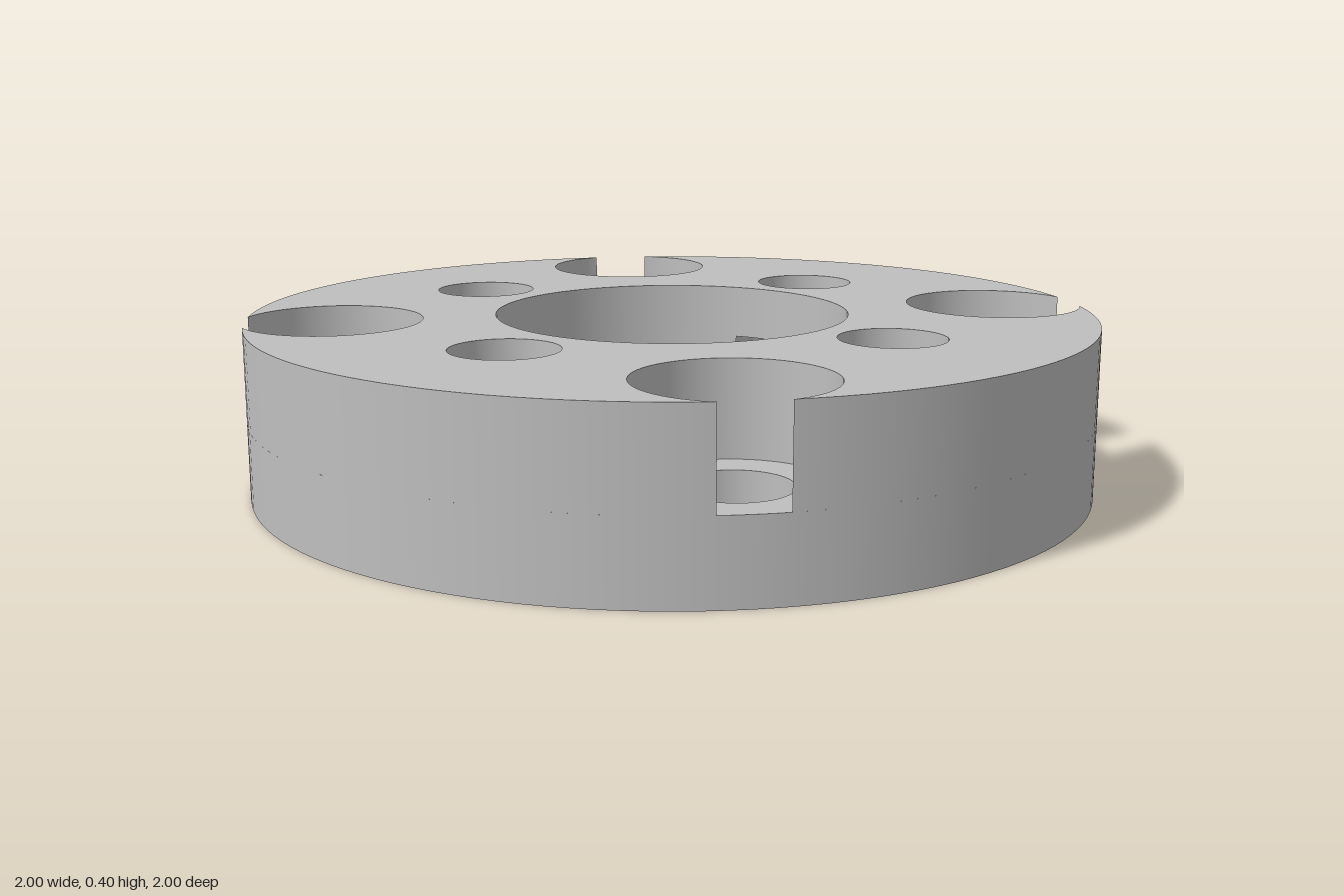
import * as THREE from 'three';
import { mergeGeometries } from 'three/addons/utils/BufferGeometryUtils.js';

const R = 1, H = 0.4;              // disc
const BORE = 0.42, HOLE = 0.122;   // centre bore, bolt holes
const POCKET = 0.21;               // counterbore radius
const D_OUT = 0.8, Y_OUT = 0.185;  // outer bolts: pockets open upward
const D_IN = 0.6, Y_IN = 0.27;     // inner bolts: pockets open downward
const TAU = Math.PI * 2, Q = Math.PI / 2;

const steps = (len) => Math.max(4, Math.ceil(Math.abs(len) / TAU * 128));

// Angles where a pocket crosses a circle r: seen from the axis and from the pocket centre
function crossing(r, d) {
  const x = (r * r - POCKET * POCKET + d * d) / (2 * d);
  return [Math.acos(x / r), Math.acos((x - d) / POCKET)];
}
const [aOut, bOut] = crossing(R, D_OUT);
const [aIn, bIn] = crossing(BORE, D_IN);

// Arc points, with the circle's centre at distance d along direction dir
function arc(d, r, a0, a1, dir = 0) {
  const n = steps(a1 - a0);
  return Array.from({ length: n + 1 }, (_, i) => {
    const a = dir + a0 + (a1 - a0) * i / n;
    return new THREE.Vector2(d * Math.cos(dir) + r * Math.cos(a), d * Math.sin(dir) + r * Math.sin(a));
  });
}
const circle = (d, r, dir = 0) => arc(d, r, 0, TAU, dir).slice(0, -1);

// Flat face at height y
function plate(points, holes, y, up) {
  const shape = new THREE.Shape(points);
  shape.holes = holes.map((h) => new THREE.Path(h));
  return new THREE.ShapeGeometry(shape).rotateX(up ? -Q : Q).translate(0, y, 0);
}

// Cylindrical wall from y0 to y1 over arc a0..a1, optionally facing its own axis
function wall(d, r, y0, y1, a0 = 0, a1 = TAU, inward = true) {
  const g = new THREE.CylinderGeometry(r, r, y1 - y0, steps(a1 - a0), 1, true, Q + a0, a1 - a0);
  if (inward) {
    g.index.array.reverse();
    const n = g.attributes.normal.array;
    for (let i = 0; i < n.length; i++) n[i] = -n[i];
  }
  return g.translate(d, (y0 + y1) / 2, 0);
}

export function createModel() {
  const group = new THREE.Group();
  const metal = new THREE.MeshStandardMaterial({ color: 0xbfbfbf });
  metal.name = 'grey metal';
  const add = (name, ...parts) => {
    const mesh = new THREE.Mesh(mergeGeometries(parts), metal);
    mesh.name = name;
    group.add(mesh);
    return mesh;
  };
  const quarters = [0, Q, 2 * Q, 3 * Q];
  const diagonals = quarters.map((k) => k + Q / 2);

  // Top face: rim bitten by the four outer pockets
  const rim = quarters.flatMap((k) => [
    ...arc(0, R, aOut, Q - aOut, k).slice(0, -1),
    ...arc(D_OUT, POCKET, TAU - bOut, bOut, k + Q).slice(0, -1),
  ]);
  add('topFace', plate(rim, [circle(0, BORE), ...diagonals.map((k) => circle(D_IN, HOLE, k))], H, true));

  // Bottom face: bore widened by the four inner pockets
  const scallop = diagonals.flatMap((k) => [
    ...arc(0, BORE, aIn, Q - aIn, k).slice(0, -1),
    ...arc(D_IN, POCKET, -bIn, bIn, k + Q).slice(0, -1),
  ]);
  add('bottomFace', plate(circle(0, R), [scallop, ...quarters.map((k) => circle(D_OUT, HOLE, k))], 0, false));

  // Rim and bore walls, with gaps where the pockets break through
  add('outerWall', wall(0, R, 0, Y_OUT, 0, TAU, false),
    ...quarters.map((k) => wall(0, R, Y_OUT, H, aOut, Q - aOut, false).rotateY(k)));
  add('boreWall', wall(0, BORE, Y_IN, H),
    ...diagonals.map((k) => wall(0, BORE, 0, Y_IN, aIn, Q - aIn).rotateY(k)));

  // Outer bolt seats: pocket wall, floor and through hole
  const floorEdge = [...arc(D_OUT, POCKET, bOut, TAU - bOut).slice(0, -1), ...arc(0, R, -aOut, aOut).slice(0, -1)];
  quarters.forEach((k) => {
    add('outerBoltSeat',
      wall(D_OUT, POCKET, Y_OUT, H, bOut, TAU - bOut),
      plate(floorEdge, [circle(D_OUT, HOLE)], Y_OUT, true),
      wall(D_OUT, HOLE, 0, Y_OUT)).rotation.y = k;
  });

  // Inner bolt seats: the same from below, opening into the bore
  const ceilingEdge = [...arc(D_IN, POCKET, -bIn, bIn).slice(0, -1), ...arc(0, BORE, aIn, -aIn).slice(0, -1)];
  diagonals.forEach((k) => {
    add('innerBoltSeat',
      wall(D_IN, POCKET, 0, Y_IN, -bIn, bIn),
      plate(ceilingEdge, [circle(D_IN, HOLE)], Y_IN, false),
      wall(D_IN, HOLE, Y_IN, H)).rotation.y = k;
  });
  return group;
}
